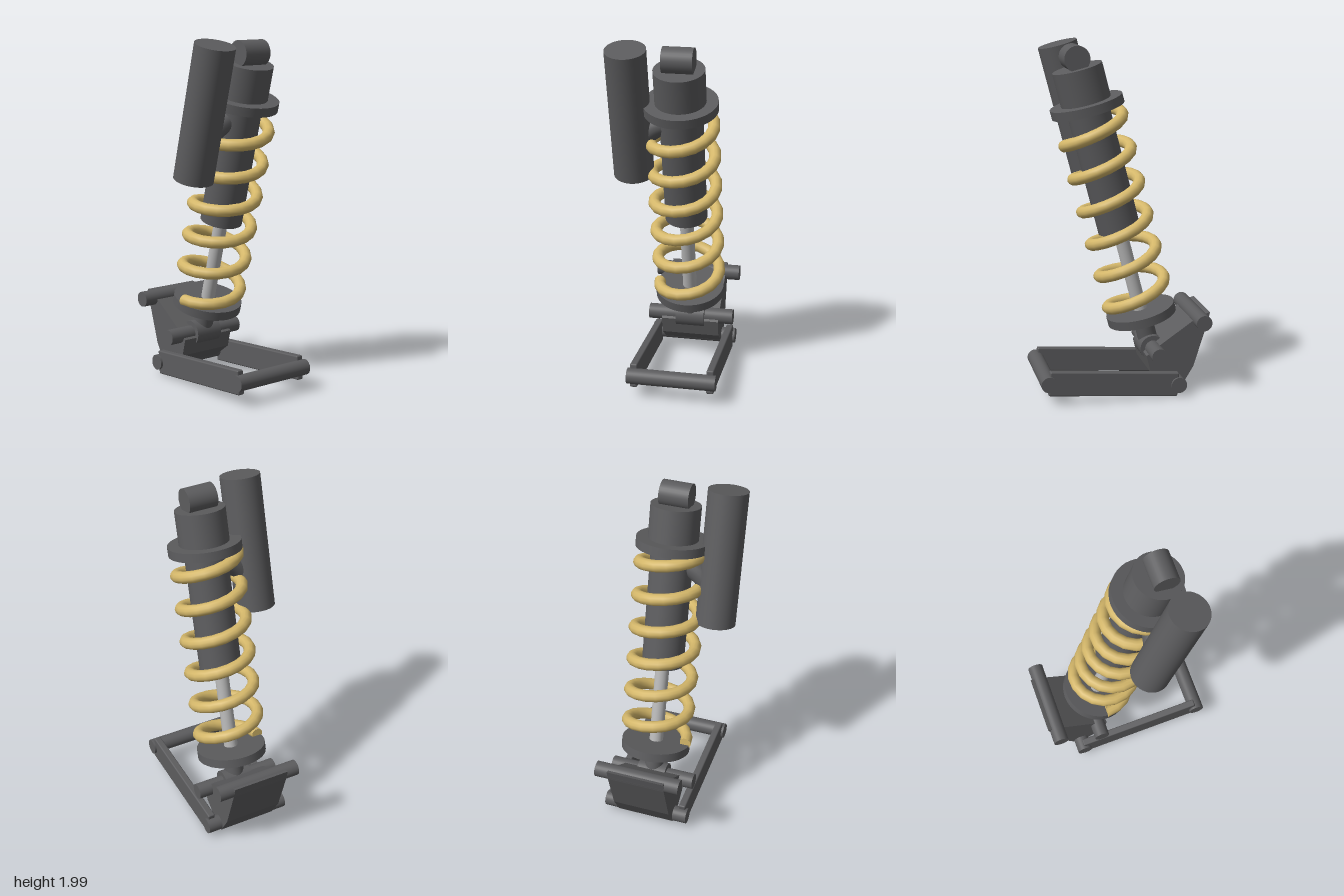
import * as THREE from 'three';
import { RoundedBoxGeometry } from 'three/addons/geometries/RoundedBoxGeometry.js';

const darkMetal = new THREE.MeshStandardMaterial({ color: 0x5c5c5e });
const springGold = new THREE.MeshStandardMaterial({ color: 0xd4b76a });
const rodSteel = new THREE.MeshStandardMaterial({ color: 0xb8b8b8 });

const AXIS_Z = -0.07;   // mid-plane of the shock and linkage
const TILT = 0.2525;    // lean of the shock towards +x

function add(parent, name, geometry, material = darkMetal) {
  const mesh = new THREE.Mesh(geometry, material);
  mesh.name = name;
  parent.add(mesh);
  return mesh;
}

// cylinder along local y between two heights
function upright(parent, name, radius, y0, y1, material) {
  const mesh = add(parent, name, new THREE.CylinderGeometry(radius, radius, y1 - y0, 40), material);
  mesh.position.y = (y0 + y1) / 2;
  return mesh;
}

// cylinder along z, centred on the mid-plane
function crossPin(parent, name, radius, length, x, y) {
  const mesh = add(parent, name, new THREE.CylinderGeometry(radius, radius, length, 32).rotateX(Math.PI / 2));
  mesh.position.set(x, y, 0);
  return mesh;
}

// helical coil path
class Helix extends THREE.Curve {
  constructor(radius, y0, pitch, turns) {
    super();
    Object.assign(this, { radius, y0, pitch, turns });
  }
  getPoint(t, target = new THREE.Vector3()) {
    const a = t * this.turns * Math.PI * 2;
    return target.set(Math.sin(a) * this.radius, this.y0 + this.pitch * this.turns * t, Math.cos(a) * this.radius);
  }
}

function buildShock() {
  const shock = new THREE.Group();
  shock.name = 'shock';

  // damper, stacked upward from the lower eye
  crossPin(shock, 'lowerEye', 0.072, 0.17, 0, 0);
  upright(shock, 'lowerShaft', 0.056, 0, 0.19);
  upright(shock, 'lowerSpringSeat', 0.2, 0.172, 0.224);
  upright(shock, 'damperRod', 0.04, 0.2, 0.76, rodSteel);
  upright(shock, 'damperBody', 0.12, 0.716, 1.44);
  upright(shock, 'upperSpringSeat', 0.206, 1.415, 1.467);
  upright(shock, 'damperCap', 0.141, 1.45, 1.66);
  crossPin(shock, 'upperEye', 0.072, 0.17, 0, 1.715);

  // coil spring with flat cut ends
  const helix = new Helix(0.178, 0.235, 0.195, 6);
  const wire = 0.034;
  add(shock, 'spring', new THREE.TubeGeometry(helix, 108, wire, 12), springGold);
  for (const t of [0, 1]) {
    const cap = add(shock, 'springEnd', new THREE.CircleGeometry(wire, 12), springGold);
    const outward = helix.getTangent(t).multiplyScalar(t ? 1 : -1);
    cap.position.copy(helix.getPoint(t));
    cap.quaternion.setFromUnitVectors(new THREE.Vector3(0, 0, 1), outward);
  }

  // side reservoir and its bent connector
  const reservoir = upright(shock, 'reservoir', 0.113, 1.01, 1.78);
  reservoir.position.x = 0.03;
  reservoir.position.z = 0.278;
  const bend = new THREE.QuadraticBezierCurve3(
    new THREE.Vector3(0.02, 1.2, 0.24), new THREE.Vector3(0.01, 1.32, 0.18), new THREE.Vector3(0, 1.34, 0.03));
  add(shock, 'reservoirConnector', new THREE.TubeGeometry(bend, 12, 0.06, 20));

  shock.position.set(-0.182, 0.257, 0);
  shock.rotation.z = -TILT;
  return shock;
}

function buildLinkage() {
  const linkage = new THREE.Group();
  linkage.name = 'linkage';

  // pivot pins
  const pins = [[-0.44, 0.435], [-0.297, 0.08], [-0.182, 0.257], [0.447, 0.14]];
  for (const [x, y] of pins) crossPin(linkage, 'pivotPin', 0.045, 0.504, x, y);

  // rocker block joining three of the pins
  const outline = [[-0.495, 0.475], [-0.48, 0.41], [-0.4, 0.16], [-0.327, 0.04], [-0.285, 0.04],
    [-0.15, 0.14], [-0.125, 0.24], [-0.19, 0.29], [-0.43, 0.455]];
  const shape = new THREE.Shape(outline.map(([x, y]) => new THREE.Vector2(x, y)));
  const rocker = add(linkage, 'rocker', new THREE.ExtrudeGeometry(shape, { depth: 0.34, bevelEnabled: false }));
  rocker.position.z = -0.17;

  // paired pull arms
  for (const side of [-1, 1]) {
    const arm = add(linkage, 'pullArm', new RoundedBoxGeometry(0.742, 0.14, 0.042, 2, 0.008));
    arm.position.set(0.075, 0.11, side * 0.218);
    arm.rotation.z = 0.081;
  }
  return linkage;
}

export function createModel() {
  const model = new THREE.Group();
  model.name = 'rearSuspension';
  const assembly = new THREE.Group();
  assembly.name = 'suspensionAssembly';
  assembly.position.z = AXIS_Z;
  assembly.add(buildShock(), buildLinkage());
  model.add(assembly);
  return model;
}
